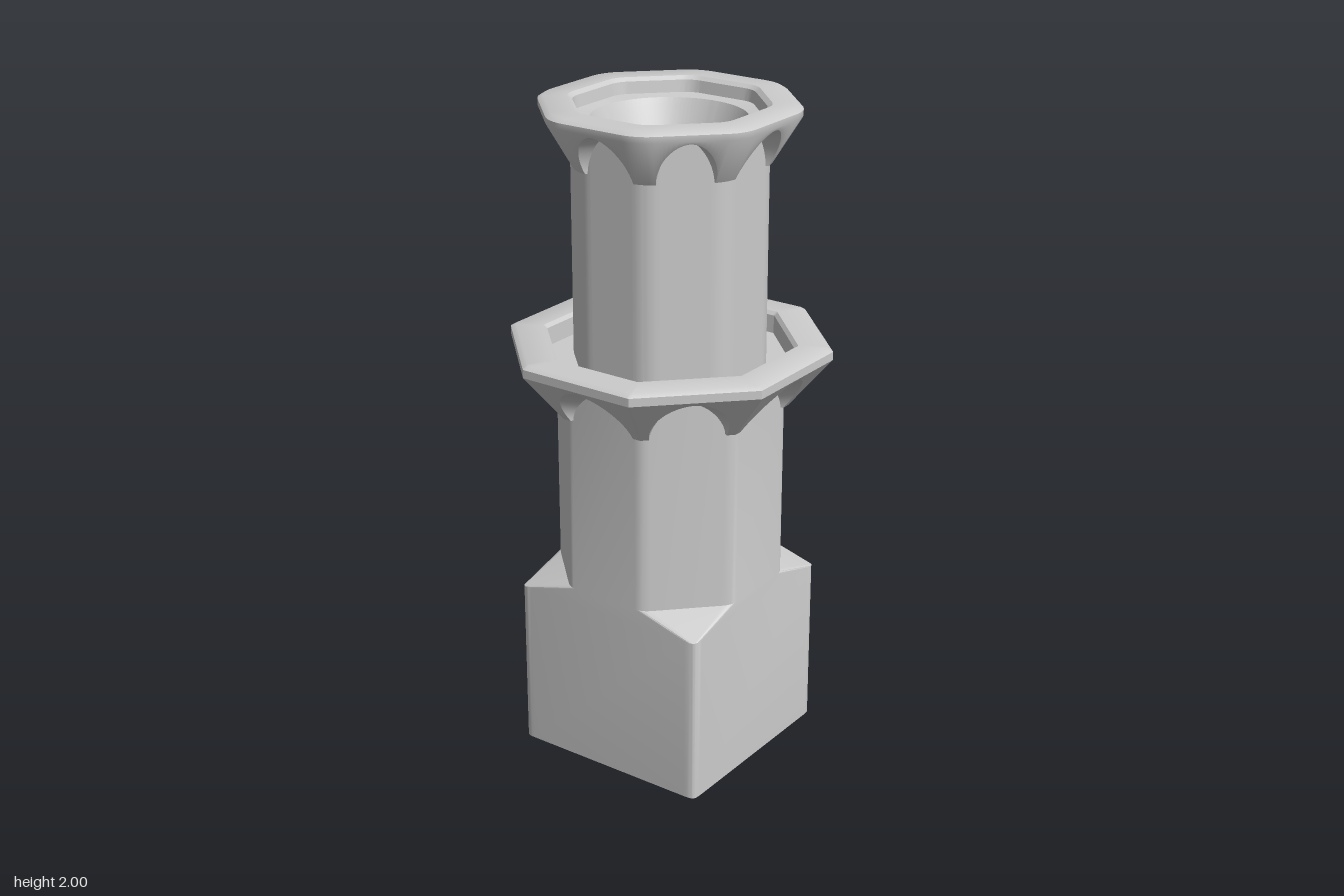
import * as THREE from 'three';
import { toCreasedNormals } from 'three/addons/utils/BufferGeometryUtils.js';

const material = new THREE.MeshStandardMaterial({ color: 0xcccccc });

// Skin a list of closed rings (each an array of [x, y, z]) from bottom/outside to top/inside.
function loft(name, rings, crease = 0.6) {
  const n = rings[0].length, index = [];
  for (let i = 0; i < rings.length - 1; i++) {
    for (let j = 0; j < n; j++) {
      const k = (j + 1) % n;
      const a = i * n + j, b = i * n + k, c = (i + 1) * n + k, d = (i + 1) * n + j;
      index.push(a, b, c, a, c, d);
    }
  }
  const geometry = new THREE.BufferGeometry();
  geometry.setAttribute('position', new THREE.Float32BufferAttribute(rings.flat(2), 3));
  geometry.setIndex(index);
  const mesh = new THREE.Mesh(toCreasedNormals(geometry, crease), material);
  mesh.name = name;
  return mesh;
}

// Distance to the edge of a round-cornered octagon; phi is measured from a face's middle.
function octRadius(phi, apothem, round) {
  const p = Math.abs(phi), core = apothem - round, h = core * Math.tan(Math.PI / 8);
  if (apothem * Math.tan(p) <= h) return apothem / Math.cos(p);
  const b = core * Math.cos(p) + h * Math.sin(p);
  return b + Math.sqrt(Math.max(0, b * b - core * core - h * h + round * round));
}

// Angles inside one octagon face, crowded toward the legs of an arch of half-angle w.
function faceAngles(w) {
  const out = [];
  for (let i = 0; i <= 20; i++) out.push(w * Math.sin((i / 20 - 0.5) * Math.PI));
  for (let i = 1; i < 8; i++) out.push(w + (Math.PI / 4 - 2 * w) * i / 8);
  return out;
}

// Octagonal ring; apothem and y may be functions of the angle within a face.
function octRing(angles, apothem, y, round) {
  const ring = [], value = (v, phi) => (typeof v === 'function' ? v(phi) : v);
  for (let f = 0; f < 8; f++) {
    for (const a of angles) {
      const phi = a > Math.PI / 8 ? a - Math.PI / 4 : a;
      const r = octRadius(phi, value(apothem, phi), round), t = f * Math.PI / 4 + a;
      ring.push([r * Math.sin(t), value(y, phi), r * Math.cos(t)]);
    }
  }
  return ring;
}

// Flaring band of eight arches under a slab; 'inside' lists [apothem, y, round] for the top.
function archedGallery(name, o) {
  const angles = faceAngles(o.archAngle);
  const arch = phi => {
    const s = Math.min(1, Math.abs(phi) / o.archAngle);
    return Math.pow(1 - Math.pow(s, 1.8), 0.6);
  };
  const edgeY = phi => o.bottom + (o.apex - o.bottom) * arch(phi);
  const edgeR = phi => THREE.MathUtils.mapLinear(edgeY(phi), o.bottom, o.slab, o.foot, o.outer);
  const soffitY = phi => edgeY(phi) - o.drop * arch(phi);
  return loft(name, [
    octRing(angles, o.wall, soffitY, o.round),
    octRing(angles, edgeR, edgeY, o.round),
    octRing(angles, o.outer, o.slab, o.round),
    octRing(angles, o.outer, o.top - 0.01, o.round),
    octRing(angles, o.outer - 0.015, o.top, o.round),
    ...o.inside.map(([r, y, round]) => octRing(angles, r, y, round)),
  ]);
}

// Square section with cut corners; c is the half-length of the four main faces.
function cutSquare(a, c, y) {
  const corners = [];
  for (let q = 0; q < 4; q++) {
    const t = q * Math.PI / 2, s = Math.sin(t), k = Math.cos(t);
    for (const x of [-c, c]) corners.push(new THREE.Vector2(x * k + a * s, -x * s + a * k));
  }
  const ring = [];
  corners.forEach((p, i) => {
    // Soften each corner with a short curve.
    const prev = corners[(i + 7) % 8], next = corners[(i + 1) % 8];
    const toward = q => p.clone().lerp(q, Math.min(0.4, 0.025 / p.distanceTo(q)));
    const curve = new THREE.QuadraticBezierCurve(toward(prev), p, toward(next));
    for (const v of curve.getPoints(4)) ring.push([v.x, y, v.y]);
  });
  return ring;
}

export function createModel() {
  const group = new THREE.Group();
  group.name = 'tower';

  // Square foot whose corners slope back into an octagonal shaft
  const point = y => cutSquare(0, 0, y).map(() => [0, y, 0]);
  group.add(loft('lowerShaft', [
    point(0),
    cutSquare(0.32, 0.308, 0),
    cutSquare(0.32, 0.308, 0.52),
    cutSquare(0.32, 0.133, 0.57),
    cutSquare(0.32, 0.133, 1.225),
    point(1.225),
  ]));

  // Wide gallery with a sunken walkway
  group.add(archedGallery('lowerGallery', {
    wall: 0.31, foot: 0.328, outer: 0.446, bottom: 1.113, slab: 1.265, top: 1.3,
    apex: 1.255, drop: 0.045, archAngle: 0.325, round: 0.003,
    inside: [[0.352, 1.3, 0.003], [0.342, 1.29, 0.003], [0.34, 1.235, 0.003], [0.25, 1.235, 0.003]],
  }));

  // Upper shaft with rounded corners
  const angles = faceAngles(0.28);
  group.add(loft('upperShaft', [1.2, 1.955].map(y => octRing(angles, 0.272, y, 0.1))));

  // Crown with a stepped, round bowl
  group.add(archedGallery('crown', {
    wall: 0.265, foot: 0.281, outer: 0.358, bottom: 1.835, slab: 1.972, top: 2,
    apex: 1.965, drop: 0.012, archAngle: 0.285, round: 0.12,
    inside: [
      [0.275, 2, 0.08], [0.262, 1.99, 0.08], [0.257, 1.955, 0.08],
      [0.224, 1.95, 0.224], [0.215, 1.93, 0.215], [0.181, 1.85, 0.181], [0, 1.85, 0],
    ],
  }));

  return group;
}
